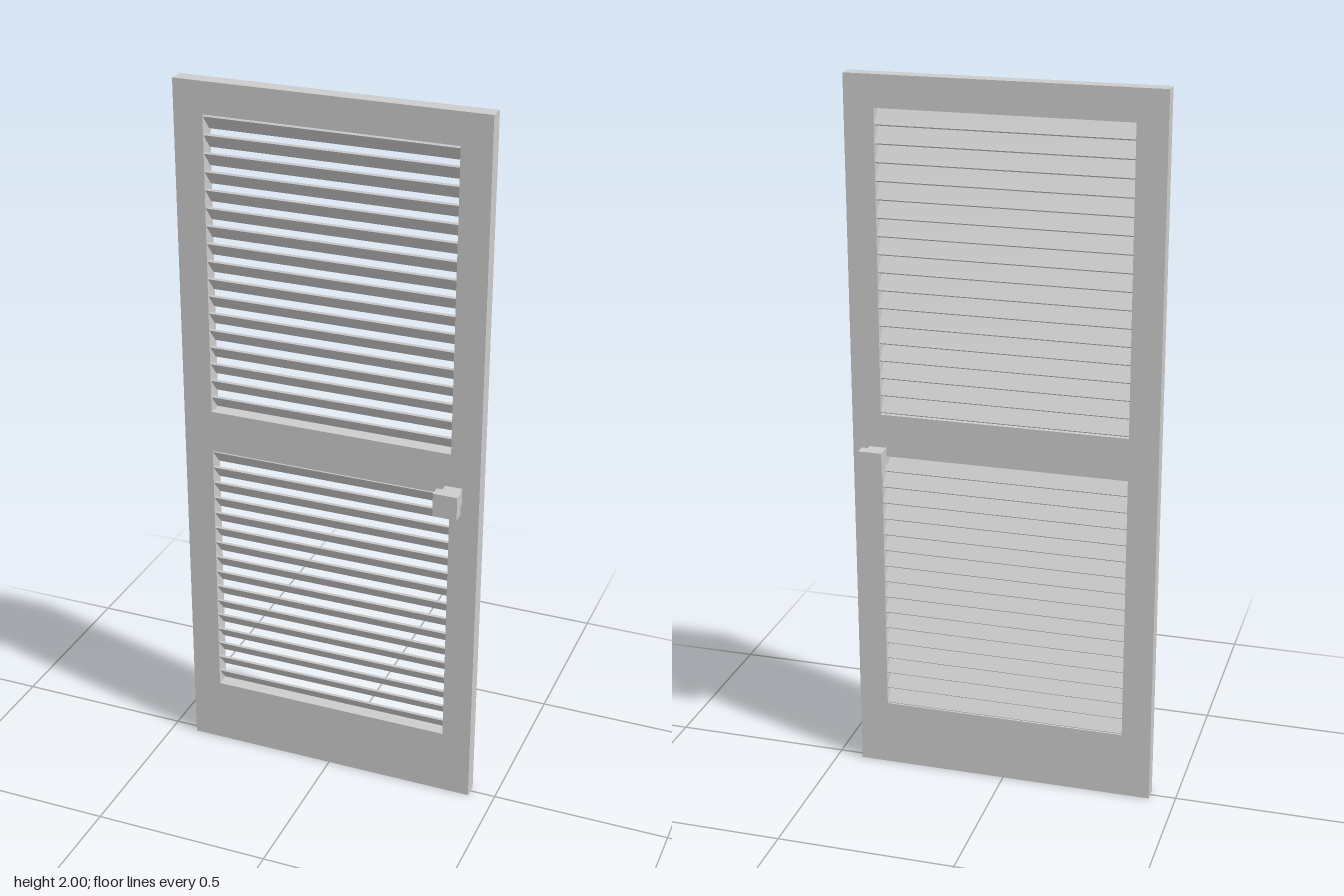
import * as THREE from 'three';

const W = 0.427, H = 2, DEPTH = 0.044, OPEN = 0.345;
const material = new THREE.MeshStandardMaterial({ color: 0xcccccc, flatShading: true });

function addMesh(parent, name, geometry, x = 0, y = 0, z = 0) {
  const mesh = new THREE.Mesh(geometry, material);
  mesh.name = name;
  mesh.position.set(x, y, z);
  parent.add(mesh);
  return mesh;
}

function rectangle(Type, x0, y0, x1, y1) {
  return new Type([[x0, y0], [x1, y0], [x1, y1], [x0, y1]].map(([x, y]) => new THREE.Vector2(x, y)));
}

export function createModel() {
  const door = new THREE.Group();
  door.name = 'louvredDoor';

  const panels = [
    { name: 'upper', bottom: 1.075, top: 1.913, count: 17, slat: 0.053 },
    { name: 'lower', bottom: 0.19, top: 0.955, count: 16, slat: 0.0575 },
  ];

  // Door frame with two openings
  const outline = rectangle(THREE.Shape, -W, 0, W, H);
  for (const p of panels) outline.holes.push(rectangle(THREE.Path, -OPEN, p.bottom, OPEN, p.top));
  const frame = new THREE.ExtrudeGeometry(outline, { depth: DEPTH, bevelEnabled: false });
  addMesh(door, 'frame', frame, 0, 0, -DEPTH / 2);

  // Slats: front edge high, back edge low
  for (const p of panels) {
    const louvres = new THREE.Group();
    louvres.name = `${p.name}Louvres`;
    const pitch = (p.top - p.bottom) / p.count;
    const geometry = new THREE.BoxGeometry(OPEN * 2, p.slat, 0.006);
    for (let i = 0; i < p.count; i++) {
      const slat = addMesh(louvres, 'slat', geometry, 0, p.bottom + (i + 0.5) * pitch, 0);
      slat.rotation.x = THREE.MathUtils.degToRad(40);
    }
    door.add(louvres);
  }

  // Square knobs on both faces
  for (const side of [1, -1]) {
    const knob = new THREE.Group();
    knob.name = side > 0 ? 'frontKnob' : 'backKnob';
    knob.position.set(0.355, 0.956, 0);
    addMesh(knob, 'neck', new THREE.BoxGeometry(0.048, 0.048, 0.062), 0, 0, side * 0.031);
    addMesh(knob, 'grip', new THREE.BoxGeometry(0.067, 0.067, 0.032), 0, 0, side * 0.077);
    door.add(knob);
  }
  return door;
}
